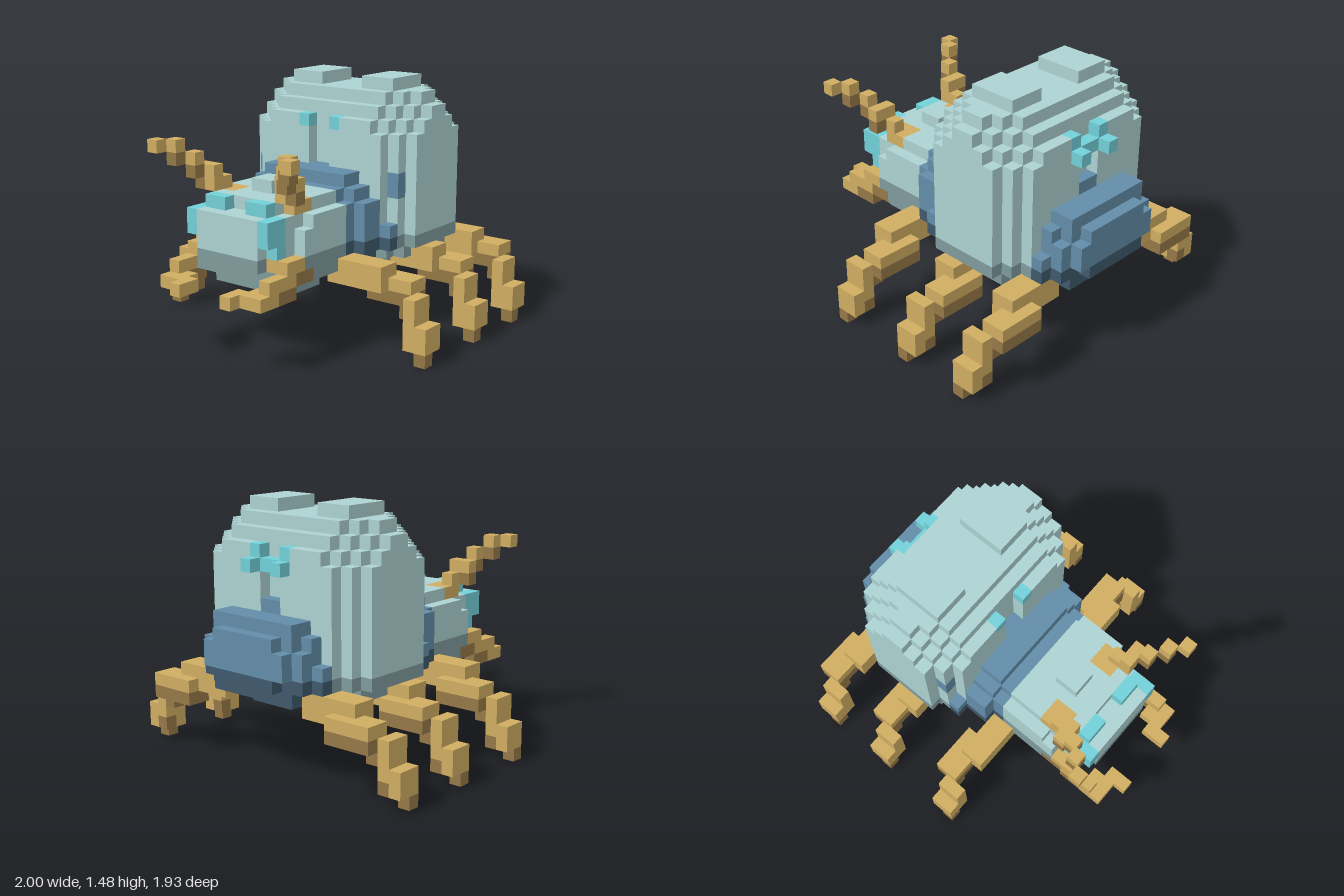
import * as THREE from 'three';

const V = 2 / 27; // cube size

const mat = (name, color) => {
  const m = new THREE.MeshStandardMaterial({ color });
  m.name = name;
  return m;
};

export function createModel() {
  const materials = {
    shell: mat('paleTeal', 0xadd2d2), shellDark: mat('greyTeal', 0x7f9b9c),
    body: mat('slateBlue', 0x628da8), bodyDark: mat('darkBlue', 0x3f596d),
    limb: mat('tan', 0xd0ad62), limbDark: mat('brown', 0x957846),
    glow: mat('cyan', 0x72d0d8),
  };
  const grid = new Map();
  const key = (i, j, k) => `${i},${j},${k}`;

  // Fill [x0,x1, y0,y1, z0,z1] in cubes, mirrored in z; undersides take the dark tone
  const fill = (part, tone, boxes) => {
    for (const [i0, i1, j0, j1, k0, k1] of boxes)
      for (let i = i0; i < i1; i++) for (let j = j0; j < j1; j++) for (let k = k0; k < k1; k++) {
        const under = j < 8 && (tone === 'shell' || tone === 'body');
        for (const kk of [k, -1 - k])
          grid.set(key(i, j, kk), { part, tone: under ? tone + 'Dark' : tone, p: [i, j, kk] });
      }
  };
  const carve = (i0, i1, j0, j1, k1) => {
    for (let i = i0; i < i1; i++) for (let j = j0; j < j1; j++)
      for (let k = -k1; k < k1; k++) grid.delete(key(i, j, k));
  };

  // Domed wing case with two raised pads on top
  fill('wingCase', 'shell', [
    [16, 22, 7, 16, 7, 8], [17, 21, 16, 17, 7, 8], [18, 20, 17, 18, 7, 8],
    [15, 23, 7, 16, 6, 7], [16, 22, 6, 17, 6, 7], [17, 21, 17, 18, 6, 7], [18, 20, 18, 19, 6, 7],
    [14, 24, 7, 16, 5, 6], [15, 23, 6, 17, 5, 6], [16, 22, 17, 18, 5, 6], [17, 21, 18, 19, 5, 6],
    [14, 24, 7, 17, 0, 5], [15, 23, 6, 18, 0, 5], [16, 22, 5, 6, 0, 5], [16, 22, 18, 19, 0, 5],
    [17, 21, 19, 20, 2, 5],
  ]);
  // Seam between the wings at both ends
  carve(14, 15, 13, 18, 1);
  carve(23, 24, 13, 18, 1);

  // Abdomen and belly
  fill('abdomen', 'body', [
    [24, 25, 7, 9, 0, 6], [24, 25, 6, 11, 0, 5], [24, 26, 6, 12, 0, 4], [25, 26, 7, 10, 4, 5],
    [26, 27, 7, 11, 0, 3], [26, 27, 8, 10, 3, 4], [23, 24, 12, 13, 0, 1],
    [16, 20, 4, 5, 0, 2], [13, 24, 5, 6, 0, 2], [14, 23, 5, 6, 2, 3], [15, 22, 5, 6, 3, 4],
    [13, 24, 6, 7, 0, 4], [14, 23, 6, 7, 4, 5], [22, 23, 5, 6, 3, 4],
  ]);

  // Thorax
  fill('thorax', 'body', [
    [11, 12, 7, 11, 0, 5], [11, 12, 6, 12, 0, 4], [12, 14, 7, 11, 5, 6], [12, 14, 6, 12, 4, 5],
    [12, 14, 5, 13, 0, 4], [14, 15, 12, 13, 0, 1],
    [14, 15, 7, 9, 6, 7], [15, 16, 11, 13, 6, 7],
  ]);

  // Head
  fill('head', 'shell', [
    [6, 11, 6, 10, 0, 5], [7, 11, 10, 11, 4, 5], [4, 11, 6, 11, 0, 4], [3, 4, 7, 11, 0, 3],
    [5, 11, 11, 12, 0, 3], [6, 11, 11, 12, 3, 4], [7, 9, 12, 13, 0, 1],
    [5, 10, 5, 6, 0, 3], [6, 9, 5, 6, 3, 4],
  ]);

  // Eyes and the small glowing marks on the wing seam
  fill('eyes', 'glow', [[3, 4, 9, 11, 3, 4], [4, 5, 8, 11, 3, 4], [4, 5, 11, 12, 1, 3]]);
  fill('wingMarks', 'glow', [
    [14, 15, 16, 17, 1, 2], [23, 25, 15, 16, 1, 2], [23, 24, 16, 17, 1, 2], [23, 24, 15, 16, 0, 1],
  ]);

  // Antennae climbing forward and outward
  fill('antennae', 'limb', [
    [6, 8, 11, 12, 2, 4], [5, 7, 12, 13, 3, 4], [5, 6, 13, 14, 3, 5], [4, 5, 13, 15, 4, 5],
    [3, 4, 15, 16, 5, 6], [2, 3, 15, 16, 6, 7],
  ]);
  fill('antennae', 'limbDark', [[5, 6, 12, 13, 4, 5], [4, 5, 13, 14, 4, 5], [3, 4, 14, 15, 5, 6]]);

  // Mandibles
  fill('mandibles', 'limb', [
    [0, 2, 5, 6, 2, 3], [1, 2, 5, 6, 3, 5], [2, 5, 5, 7, 4, 5], [2, 3, 5, 6, 3, 4], [4, 6, 7, 8, 3, 5],
  ]);
  fill('mandibles', 'limbDark', [[5, 7, 6, 7, 4, 5], [3, 5, 5, 6, 4, 5]]);

  // Three pairs of legs
  for (const [name, a] of [['frontLegs', 10], ['middleLegs', 17], ['rearLegs', 23]]) {
    fill(name, 'limb', [
      [a, a + 2, 5, 7, 4, 9], [a + 2, a + 3, 5, 6, 7, 9], [a + 1, a + 3, 4, 6, 9, 11],
      [a, a + 2, 1, 5, 11, 12], [a, a + 2, 1, 3, 12, 13],
    ]);
    fill(name, 'limbDark', [
      [a + 1, a + 3, 4, 5, 7, 11], [a + 1, a + 2, 3, 4, 10, 11],
      [a + 1, a + 2, 1, 2, 11, 12], [a, a + 1, 0, 1, 12, 13],
    ]);
  }

  // Collect exposed cube faces by part and tone
  const sets = {};
  for (const { part, tone, p } of grid.values()) {
    const s = ((sets[part] ??= {})[tone] ??= { pos: [], nor: [] });
    for (let axis = 0; axis < 3; axis++) for (const d of [-1, 1]) {
      const n = [0, 0, 0];
      n[axis] = d;
      if (grid.has(key(p[0] + n[0], p[1] + n[1], p[2] + n[2]))) continue;
      const u = (axis + 1) % 3, w = (axis + 2) % 3;
      const ring = [[0, 0], [1, 0], [1, 1], [0, 0], [1, 1], [0, 1]];
      if (d < 0) ring.reverse();
      for (const [a, b] of ring) {
        const c = [...p];
        c[axis] += d > 0 ? 1 : 0;
        c[u] += a;
        c[w] += b;
        s.pos.push(c[0] * V - 1, c[1] * V, c[2] * V);
        s.nor.push(...n);
      }
    }
  }

  const model = new THREE.Group();
  model.name = 'beetle';
  for (const [part, tones] of Object.entries(sets)) {
    const group = new THREE.Group();
    group.name = part;
    for (const [tone, { pos, nor }] of Object.entries(tones)) {
      if (!pos.length) continue;
      const geo = new THREE.BufferGeometry();
      geo.setAttribute('position', new THREE.Float32BufferAttribute(pos, 3));
      geo.setAttribute('normal', new THREE.Float32BufferAttribute(nor, 3));
      const mesh = new THREE.Mesh(geo, materials[tone]);
      mesh.name = tone.endsWith('Dark') ? part + 'Underside' : part;
      group.add(mesh);
    }
    model.add(group);
  }
  return model;
}
